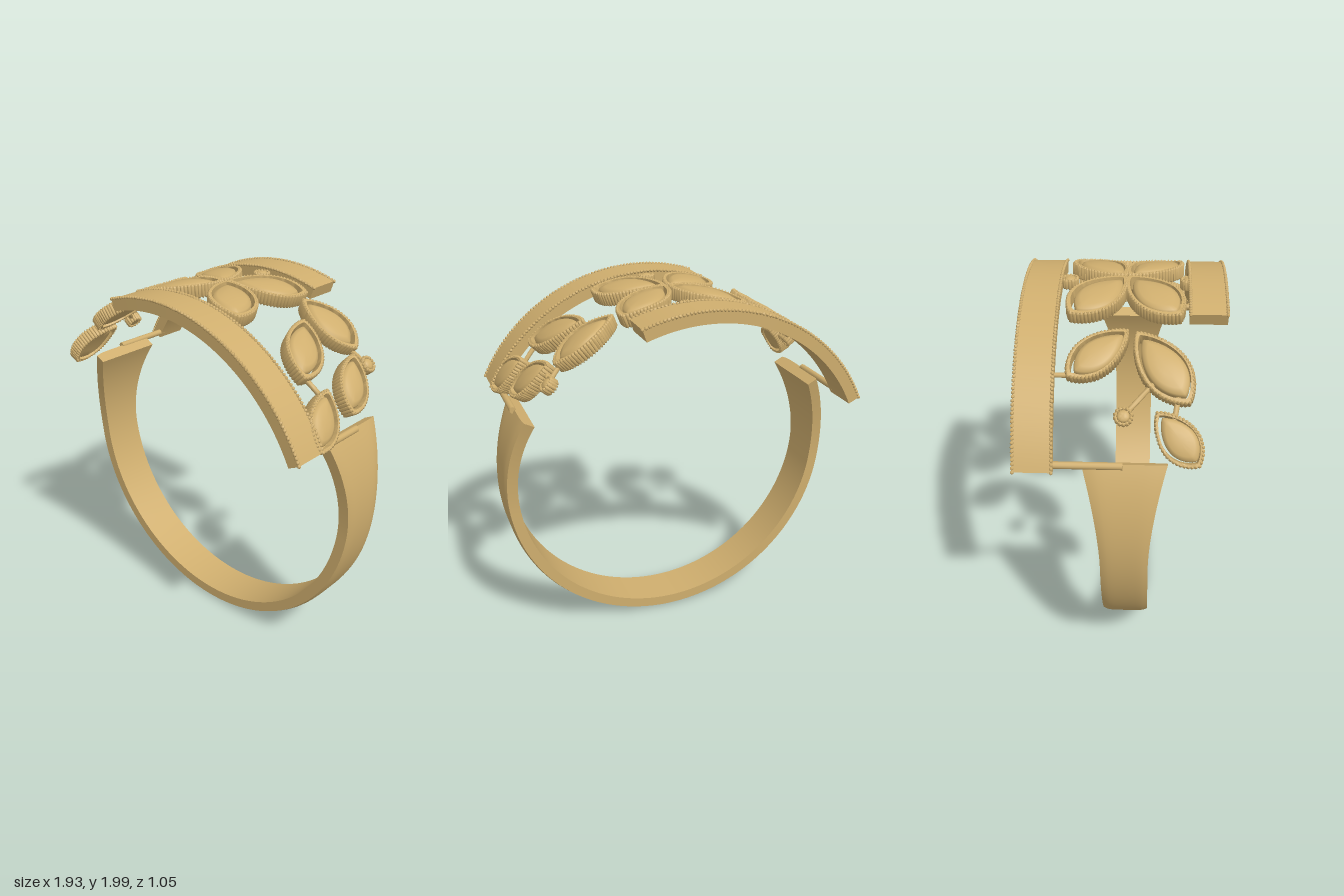
import * as THREE from 'three';
import { mergeGeometries, toCreasedNormals } from 'three/addons/utils/BufferGeometryUtils.js';
import { ParametricGeometry } from 'three/addons/geometries/ParametricGeometry.js';

const CENTER_Y = 0.97;    // axis height of the ring
const TOP_INNER = 0.955;  // inner radius of the ornamental top
const gold = new THREE.MeshStandardMaterial({ color: 0xcfae6e });
const angle = x => Math.asin(x / 1.02); // x position -> angle around the ring

// Wraps a flat geometry (x = angle, y = height, z = width) around the ring axis.
function bend(geo, radius = TOP_INNER, turn = 0) {
  const p = geo.attributes.position;
  for (let i = 0; i < p.count; i++) {
    const a = p.getX(i) + turn, r = radius + p.getY(i);
    p.setXY(i, r * Math.sin(a), CENTER_Y + r * Math.cos(a));
  }
  return toCreasedNormals(geo, 1.1);
}

function addMesh(parent, name, geo) {
  const mesh = new THREE.Mesh(geo, gold);
  mesh.name = name;
  parent.add(mesh);
}

// Sweeps a [scale, height] profile around an outline.
function loft(points, profile, cx, cz) {
  const n = points.length - 1, m = profile.length - 1;
  return new ParametricGeometry((u, v, target) => {
    const o = points[Math.min(n, Math.max(0, Math.round(u * n)))];
    const [s, h] = profile[Math.min(m, Math.max(0, Math.round(v * m)))];
    target.set(cx + o.x * s, h, cz + o.z * s);
  }, n, m);
}

// Pillow-shaped centre inside a ribbed rim.
function setting(parent, name, outline, cx, cz, height, gemShift) {
  const curve = new THREE.CatmullRomCurve3(outline, true);
  const n = 2 * Math.round(curve.getLength() / 0.036);
  const points = curve.getSpacedPoints(n);
  const h = height;
  const rim = loft(points, [[0.9, 0], [1, 0], [1, h], [0.9, h], [0.9, 0]], cx, cz);
  const ribs = points.slice(0, n).map(p =>
    new THREE.CapsuleGeometry(0.01, h - 0.008, 1, 6).translate(cx + p.x, h / 2, cz + p.z));
  const gem = loft(points, [[0, 0.08], [0.4, 0.08], [0.78, 0.08], [0.83, 0.25], [0.83, 0.7],
    [0.78, 0.9], [0.62, 1.02], [0.3, 1.08], [0, 1.1]].map(([s, y]) => [s, y * h]), cx, cz + gemShift);
  const group = new THREE.Group();
  group.name = name;
  addMesh(group, 'rim', bend(mergeGeometries([rim, ...ribs])));
  addMesh(group, 'pillow', bend(gem));
  parent.add(group);
}

// Leaf running from its narrow tip to its broad tip, given as x, z.
function leaf(parent, name, x1, z1, x2, z2, width) {
  const a1 = angle(x1), a2 = angle(x2);
  const len = Math.hypot(a2 - a1, z2 - z1) - 0.02;
  const phi = Math.atan2(z1 - z2, a2 - a1);
  const outline = [];
  for (let i = 0; i < 40; i++) {
    const t = i / 40 * Math.PI * 2, s = Math.sin(t);
    const a = len / 2 * Math.cos(t);
    const b = (width / 2 - 0.008) * Math.sign(s) * Math.abs(s) ** 1.6 * (1 + 0.18 * Math.cos(t));
    outline.push(new THREE.Vector3(
      a * Math.cos(phi) - b * Math.sin(phi), 0, -(a * Math.sin(phi) + b * Math.cos(phi))));
  }
  setting(parent, name, outline, (a1 + a2) / 2, (z1 + z2) / 2, 0.068, 0.006);
}

// Small round beaded disc.
function bud(parent, x, z) {
  const outline = [];
  for (let i = 0; i < 12; i++) {
    const t = i / 12 * Math.PI * 2;
    outline.push(new THREE.Vector3(0.038 * Math.cos(t), 0, -0.038 * Math.sin(t)));
  }
  setting(parent, 'bud', outline, angle(x), z, 0.05, 0);
}

// Thin wire between two x, z points.
function stem(parent, x1, z1, x2, z2) {
  const a = new THREE.Vector3(angle(x1), 0.03, z1), b = new THREE.Vector3(angle(x2), 0.03, z2);
  const geo = new THREE.TubeGeometry(new THREE.LineCurve3(a, b), 4, 0.013, 8);
  addMesh(parent, 'stem', bend(geo));
}

// Curved top band with a row of beads on both outer edges.
function topBand(parent, name, x1, x2, z1, z2) {
  const a1 = angle(x1), a2 = angle(x2), width = 0.186, h = 0.065;
  const zAt = a => z1 + (z2 - z1) * (a - a1) / (a2 - a1);
  const geo = new THREE.BoxGeometry(a2 - a1, h, width, 56, 1, 1).translate((a1 + a2) / 2, h / 2, 0);
  const p = geo.attributes.position;
  for (let i = 0; i < p.count; i++) p.setZ(i, p.getZ(i) + zAt(p.getX(i)));
  const beads = [], count = 76;
  for (const side of [-1, 1])
    for (let i = 0; i <= count; i++) {
      const a = a1 + (a2 - a1) * i / count;
      beads.push(new THREE.SphereGeometry(0.0095, 6, 4).translate(a, h, zAt(a) + side * (width / 2 - 0.003)));
    }
  const group = new THREE.Group();
  group.name = name;
  addMesh(group, 'bandBody', bend(geo));
  addMesh(group, 'beadedEdges', bend(mergeGeometries(beads)));
  parent.add(group);
}

// Open lower hoop, flaring in width toward its two ends.
function shank(parent) {
  const geo = new THREE.BoxGeometry(4.1, 0.07, 2, 120, 1, 12);
  const p = geo.attributes.position;
  for (let i = 0; i < p.count; i++) {
    const flare = Math.max(0, (Math.abs(p.getX(i)) - 1.45) / 0.6) ** 1.8;
    const z = p.getZ(i);
    if (p.getY(i) > 0) p.setY(i, p.getY(i) - 0.012 * z ** 6);
    p.setZ(i, 0.013 + z * (0.118 + 0.085 * flare));
  }
  addMesh(parent, 'shank', bend(geo, 0.93, Math.PI));
}

export function createModel() {
  const ring = new THREE.Group();
  ring.name = 'leafRing';
  shank(ring);
  topBand(ring, 'frontBand', -0.335, 0.912, 0.405, 0.423);
  topBand(ring, 'backBand', -0.922, 0.325, -0.411, -0.429);

  // Bars joining the shank ends to the bands
  for (const s of [-1, 1])
    addMesh(ring, 'joiningBar', new THREE.CylinderGeometry(0.018, 0.018, 0.35, 12)
      .rotateX(Math.PI / 2).translate(s * 0.865, 1.412, s * 0.17));

  // Four-petal flower on top
  for (const sx of [-1, 1])
    for (const sz of [-1, 1])
      leaf(ring, 'petal', sx * 0.004, sz * 0.004, sx * 0.338, sz * 0.272, 0.25);
  bud(ring, 0, -0.295);
  bud(ring, 0, 0.315);
  stem(ring, -0.24, 0.24, -0.24, 0.33);

  // Leaves on the +x side
  leaf(ring, 'leftLeaf', 0.36, -0.19, 0.69, -0.235, 0.235);
  leaf(ring, 'leftLeaf', 0.475, -0.06, 0.71, 0.225, 0.21);
  leaf(ring, 'leftLeaf', 0.70, -0.19, 0.87, 0.035, 0.19);
  leaf(ring, 'leftLeaf', 0.77, 0.12, 0.913, 0.35, 0.19);
  bud(ring, 0.755, -0.27);
  stem(ring, 0.67, -0.22, 0.755, -0.27);
  stem(ring, 0.73, -0.16, 0.755, -0.27);
  stem(ring, 0.69, 0.19, 0.79, 0.15);

  // Leaves on the -x side
  leaf(ring, 'rightLeaf', -0.425, 0.02, -0.645, -0.265, 0.2);
  leaf(ring, 'rightLeaf', -0.435, 0.055, -0.735, 0.315, 0.23);
  leaf(ring, 'rightLeaf', -0.76, 0.155, -0.905, 0.365, 0.19);
  bud(ring, -0.775, 0.005);
  stem(ring, -0.66, 0.14, -0.775, 0.005);
  stem(ring, -0.63, -0.33, -0.63, -0.22);
  stem(ring, -0.70, 0.26, -0.79, 0.24);
  return ring;
}
